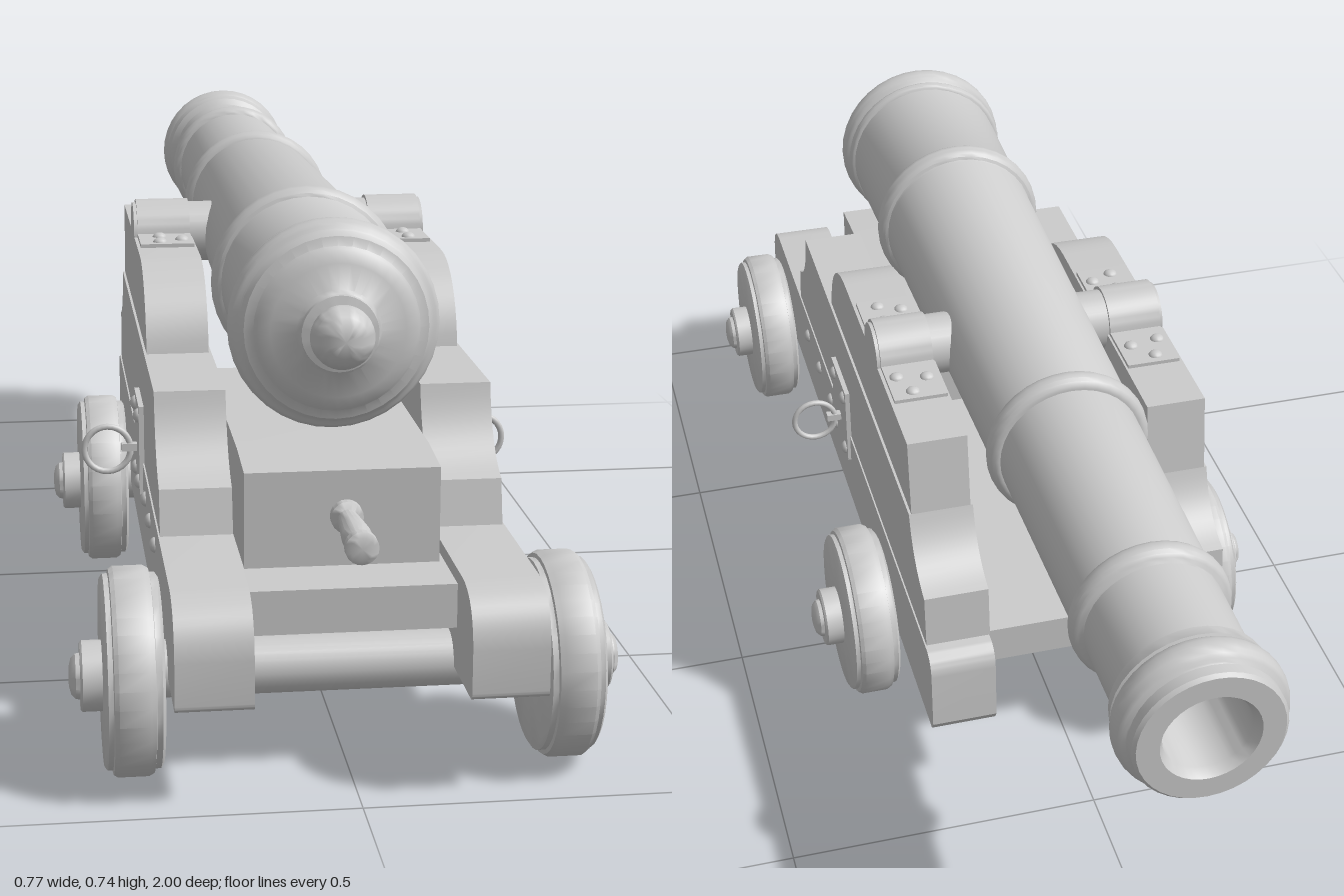
import * as THREE from 'three';
import { toCreasedNormals } from 'three/addons/utils/BufferGeometryUtils.js';

const material = new THREE.MeshStandardMaterial({ color: 0xcccccc });
const AXIS_Y = 0.593;
const WHEEL_R = 0.144;

function add(parent, name, geometry, x = 0, y = 0, z = 0) {
  const mesh = new THREE.Mesh(geometry, material);
  mesh.name = name;
  mesh.position.set(x, y, z);
  parent.add(mesh);
  return mesh;
}

// Turned part from [radius, height] pairs, with crisp steps
function lathe(points, segments = 32) {
  const profile = points.map(([r, h]) => new THREE.Vector2(r, h));
  return toCreasedNormals(new THREE.LatheGeometry(profile, segments), 0.6);
}

// Side outline (z, y) extruded across x and centred on x = 0
function slab(shape, width) {
  const g = new THREE.ExtrudeGeometry(shape, { depth: width, bevelEnabled: false, curveSegments: 10 });
  g.translate(0, 0, -width / 2).rotateY(-Math.PI / 2);
  return toCreasedNormals(g, 0.5);
}

// Rounded moulding around the barrel
function moulding(z, half, base, height) {
  const points = [];
  for (let i = 0; i <= 8; i++) {
    const a = Math.PI * i / 8;
    points.push([base + height * Math.sin(a), z - half * Math.cos(a)]);
  }
  return points;
}

function buildBarrel(parent) {
  const profile = [
    // bore and muzzle
    [0, -0.45], [0.064, -0.45], [0.064, -0.985], [0.072, -1], [0.105, -1], [0.11, -0.995], [0.11, -0.978],
    ...moulding(-0.952, 0.024, 0.112, 0.013), [0.118, -0.925], [0.114, -0.905], [0.103, -0.895],
    // tapering tube with mouldings
    [0.104, -0.756], ...moulding(-0.734, 0.02, 0.106, 0.014), [0.107, -0.71],
    [0.113, -0.335], ...moulding(-0.315, 0.02, 0.115, 0.015), [0.118, -0.29],
    [0.131, 0.375], ...moulding(0.398, 0.02, 0.132, 0.014), [0.131, 0.42],
    [0.136, 0.645], ...moulding(0.659, 0.011, 0.136, 0.008), [0.136, 0.672],
    // breech and cascabel
    ...moulding(0.695, 0.021, 0.138, 0.012), [0.136, 0.718], [0.13, 0.728], [0.117, 0.732],
    [0.113, 0.737], [0.095, 0.745], [0.06, 0.752], [0.055, 0.757], [0.054, 0.764], [0.036, 0.768],
  ];
  for (let i = 0; i <= 8; i++) {
    const a = -0.65 + (Math.PI / 2 + 0.65) * i / 8;
    profile.push([i === 8 ? 0 : 0.045 * Math.cos(a), 0.784 + 0.034 * Math.sin(a)]);
  }
  add(parent, 'barrel', lathe(profile, 36).rotateX(Math.PI / 2), 0, AXIS_Y, 0);
  const trunnion = new THREE.CylinderGeometry(0.05, 0.05, 0.486, 24).rotateZ(Math.PI / 2);
  add(parent, 'trunnions', trunnion, 0, 0.6, 0.005);
}

// Three stacked planks form each side of the carriage
function lowerPlank() {
  const s = new THREE.Shape();
  s.moveTo(-0.415, 0.145);
  s.lineTo(0.99, 0.145);
  s.quadraticCurveTo(1, 0.145, 1, 0.155);
  s.lineTo(1, 0.215);
  s.quadraticCurveTo(0.995, 0.285, 0.925, 0.29);
  s.lineTo(-0.395, 0.29);
  s.quadraticCurveTo(-0.422, 0.285, -0.422, 0.25);
  s.lineTo(-0.425, 0.16);
  return slab(s, 0.105);
}

function middlePlank() {
  const s = new THREE.Shape();
  s.moveTo(-0.38, 0.29);
  s.lineTo(0.7, 0.29);
  s.lineTo(0.685, 0.355);
  s.quadraticCurveTo(0.615, 0.38, 0.595, 0.475);
  s.lineTo(-0.277, 0.475);
  s.quadraticCurveTo(-0.3, 0.395, -0.373, 0.378);
  return slab(s, 0.104);
}

function upperPlank() {
  const s = new THREE.Shape();
  s.moveTo(-0.277, 0.475);
  s.lineTo(0.365, 0.475);
  s.bezierCurveTo(0.355, 0.545, 0.3, 0.6, 0.22, 0.6);
  s.lineTo(-0.262, 0.6);
  return slab(s, 0.096);
}

// Strap arched over the trunnion with a flat foot at each end
function capStrap() {
  const s = new THREE.Shape();
  s.moveTo(0.15, 0.6);
  s.lineTo(0.15, 0.606);
  s.lineTo(0.06, 0.606);
  s.absarc(0.005, 0.6, 0.055, 0.1, Math.PI - 0.1, false);
  s.lineTo(-0.15, 0.606);
  s.lineTo(-0.15, 0.6);
  return slab(s, 0.087);
}

const wheelGeometry = lathe([
  [0.04, 0], [0.128, 0], [0.134, 0.004], [0.134, 0.012], [0.14, 0.013], [WHEEL_R, 0.02],
  [WHEEL_R, 0.062], [0.14, 0.068], [0.134, 0.069], [0.134, 0.076], [0.128, 0.08], [0.04, 0.08],
], 36);
const hubGeometry = lathe([
  [0.049, 0], [0.049, 0.028], [0.046, 0.031], [0.032, 0.031], [0.031, 0.037], [0.025, 0.043], [0.013, 0.046], [0, 0.046],
], 24);
const boltGeometry = new THREE.SphereGeometry(0.012, 12, 5, 0, Math.PI * 2, 0, Math.PI / 2).scale(1, 0.75, 1);

function buildSide(parent, s) {
  const side = new THREE.Group();
  side.name = s > 0 ? 'leftSide' : 'rightSide';
  parent.add(side);
  const x = s * 0.197;
  add(side, 'lowerCheek', lowerPlank(), x);
  add(side, 'middleCheek', middlePlank(), x - s * 0.002);
  add(side, 'upperCheek', upperPlank(), x - s * 0.002);
  add(side, 'trunnionStrap', capStrap(), s * 0.194);

  // Bolts on the strap feet
  for (const [bx, bz] of [[0.22, -0.085], [0.172, -0.095], [0.203, -0.13], [0.203, 0.085], [0.168, 0.113], [0.205, 0.13]])
    add(side, 'strapBolt', boltGeometry, s * bx, 0.604, bz);

  // Bolts on the outer face
  const outerBolt = (y, z, px) => {
    add(side, 'sideBolt', boltGeometry, s * px, y, z).rotation.z = -s * Math.PI / 2;
  };
  for (const z of [0.615, 0.5, 0.39]) outerBolt(0.25, z, 0.249);
  for (const z of [0.31, 0.228]) for (const y of [0.255, 0.363]) outerBolt(y, z, 0.254);

  // Plate with eye and ring
  add(side, 'ringPlate', new THREE.BoxGeometry(0.012, 0.143, 0.123), s * 0.249, 0.311, 0.27);
  add(side, 'ringEye', new THREE.BoxGeometry(0.03, 0.012, 0.014), s * 0.265, 0.3, 0.266);
  add(side, 'ring', new THREE.TorusGeometry(0.037, 0.005, 8, 28), s * 0.302, 0.297, 0.266);

  // Wheels and axle ends
  for (const z of [0.835, -0.092]) {
    add(side, 'wheel', wheelGeometry, s * 0.258, WHEEL_R, z).rotation.z = -s * Math.PI / 2;
    add(side, 'hub', hubGeometry, s * 0.337, 0.139, z).rotation.z = -s * Math.PI / 2;
  }
}

export function createModel() {
  const model = new THREE.Group();
  model.name = 'cannon';
  buildBarrel(model);
  for (const s of [1, -1]) buildSide(model, s);

  for (const z of [0.835, -0.092])
    add(model, 'axle', new THREE.CylinderGeometry(0.04, 0.04, 0.6, 24).rotateZ(Math.PI / 2), 0, 0.145, z);

  // Bed between the cheeks, wedge block and its handle
  add(model, 'bed', new THREE.BoxGeometry(0.3, 0.063, 1.24), 0, 0.239, 0.27);
  const wedge = new THREE.Shape();
  wedge.moveTo(0.3, 0.27);
  wedge.lineTo(0.795, 0.27);
  wedge.lineTo(0.795, 0.408);
  wedge.lineTo(0.7, 0.416);
  wedge.lineTo(0.3, 0.416);
  add(model, 'wedge', slab(wedge, 0.274));
  const handle = lathe([
    [0.023, 0], [0.023, 0.014], [0.014, 0.02], [0.018, 0.06], [0.021, 0.1], [0.014, 0.125],
    [0.014, 0.132], [0.023, 0.136], [0.023, 0.148], [0.016, 0.152], [0, 0.152],
  ], 20).rotateX(Math.PI / 2);
  add(model, 'wedgeHandle', handle, 0.005, 0.343, 0.793);
  return model;
}
